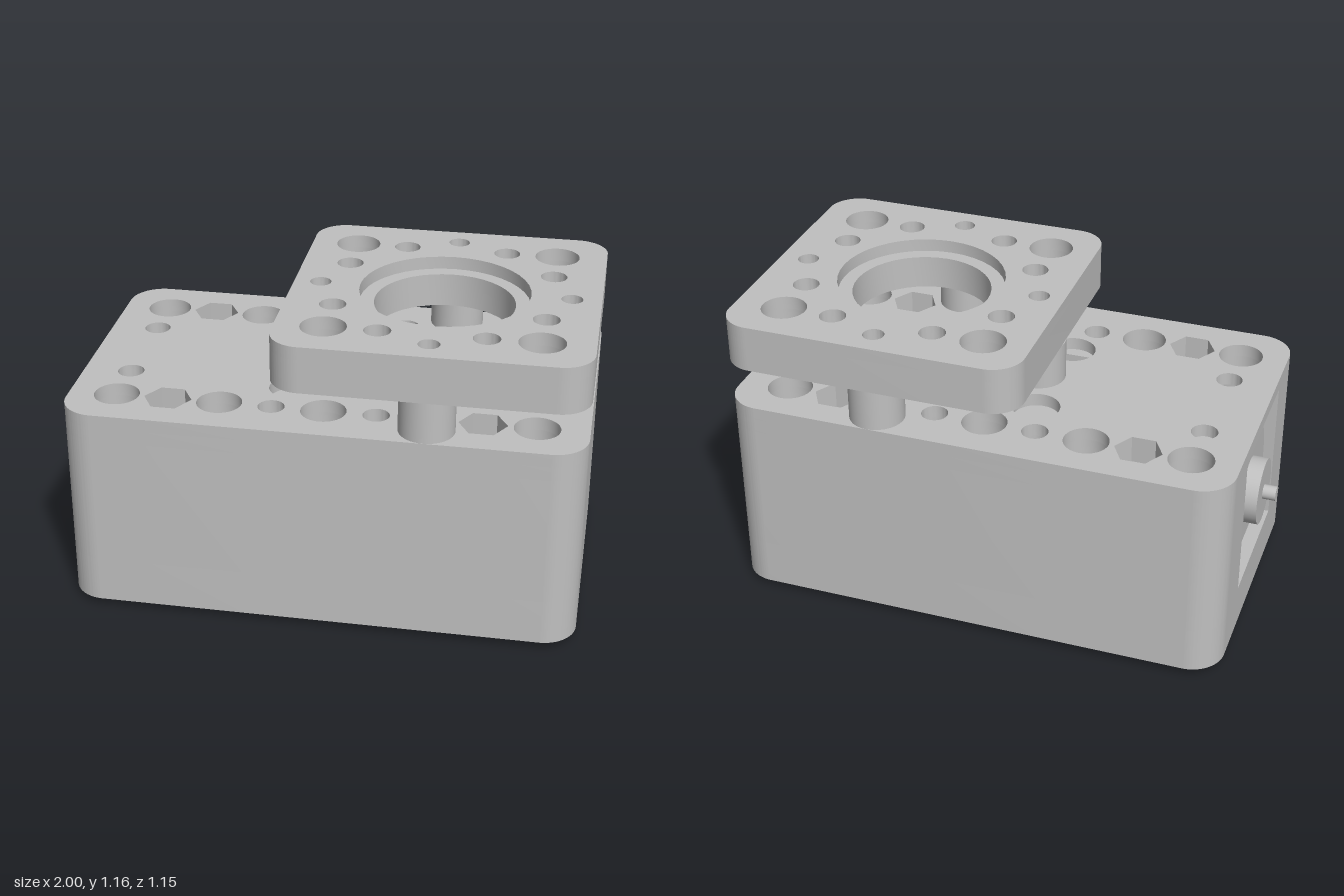
import * as THREE from 'three';
import { toCreasedNormals } from 'three/addons/utils/BufferGeometryUtils.js';

const BIG = 0.085, SMALL = 0.05, ROW = 0.39, AXIS = 0.42, HEX = 0.09;

export function createModel() {
  const group = new THREE.Group();
  const grey = new THREE.MeshStandardMaterial({ color: 0xc0c0c0 });
  grey.name = 'light grey';

  const add = (name, geometry) => {
    const mesh = new THREE.Mesh(geometry, grey);
    mesh.name = name;
    group.add(mesh);
    return mesh;
  };

  // hole helpers: round, hexagonal, and mirrored pairs across z
  const round = (x, z, r) => new THREE.Path().absarc(x, z, r, 0, Math.PI * 2, true);
  const hex = (x, z, r) => {
    const pts = [];
    for (let i = 0; i < 6; i++) {
      const a = -i * Math.PI / 3;
      pts.push(new THREE.Vector2(x + r * Math.cos(a), z + r * Math.sin(a)));
    }
    return new THREE.Path(pts);
  };
  const pair = (make, x, z, r) => [make(x, z, r), make(x, -z, r)];

  // rounded rectangle, optionally notched from its -x side by a cavity
  const outline = (x0, x1, h, r, notch) => {
    const s = new THREE.Shape();
    s.moveTo(x0 + r, -h);
    s.lineTo(x1 - r, -h);
    s.absarc(x1 - r, -h + r, r, -Math.PI / 2, 0);
    s.lineTo(x1, h - r);
    s.absarc(x1 - r, h - r, r, 0, Math.PI / 2);
    s.lineTo(x0 + r, h);
    s.absarc(x0 + r, h - r, r, Math.PI / 2, Math.PI);
    if (notch) {
      s.lineTo(x0, notch.z);
      s.lineTo(notch.x, notch.z);
      s.lineTo(notch.x, -notch.z);
      s.lineTo(x0, -notch.z);
    }
    s.lineTo(x0, -h + r);
    s.absarc(x0 + r, -h + r, r, Math.PI, Math.PI * 1.5);
    return s;
  };

  // horizontal slab from y0 to y1
  const slab = (name, shape, holes, y0, y1) => {
    shape.holes.push(...holes);
    const g = new THREE.ExtrudeGeometry(shape, { depth: y1 - y0, bevelEnabled: false, curveSegments: 20 });
    g.rotateX(-Math.PI / 2).translate(0, y0, 0);
    return add(name, toCreasedNormals(g, 0.6));
  };

  // holes running through the full housing
  const through = () => [
    ...[-0.75, -0.36, 0.03, 0.81].flatMap(x => pair(round, x, ROW, BIG)),
    ...[-0.165, 0.225].flatMap(x => pair(round, x, ROW, SMALL)),
    ...pair(round, 0.81, 0.195, SMALL),
  ];
  const bolts = (make, r) => [-0.555, 0.615].flatMap(x => pair(make, x, ROW, r));
  const motorHoles = () => pair(round, -0.75, 0.195, SMALL);
  const body = notch => outline(-0.93, 1, 0.575, 0.13, notch);
  const cavity = { x: 0.15, z: 0.267 };

  // housing, stacked in layers around the motor cavity
  slab('housingFloor', body(),
    [...through(), ...bolts(round, BIG), ...motorHoles(), ...pair(hex, -0.115, 0.225, 0.08), round(AXIS, 0, 0.13)],
    0.03, 0.21);
  slab('housingWalls', body(cavity), [...through(), ...bolts(round, SMALL)], 0.21, 0.72);
  slab('housingNutPockets', body(cavity), [...through(), ...bolts(hex, HEX)], 0.72, 0.775);
  slab('housingLid', body(),
    [...through(), ...bolts(hex, HEX), ...motorHoles(), ...pair(round, -0.115, 0.225, 0.09)],
    0.775, 0.825);

  // raised mounting plate with a stepped central bore
  const plateHoles = bore => [
    ...[0.03, 0.81].flatMap(x => [...pair(round, x, ROW, BIG), ...pair(round, x, 0.195, SMALL)]),
    ...[0.225, 0.615].flatMap(x => pair(round, x, ROW, SMALL)),
    ...pair(round, AXIS, 0.47, 0.04),
    round(-0.05, 0, 0.04), round(0.89, 0, 0.04),
    round(AXIS, 0, bore),
  ];
  const plate = () => outline(-0.15, 1, 0.575, 0.12);
  slab('plateLower', plate(), plateHoles(0.265), 0.985, 1.115);
  slab('plateUpper', plate(), plateHoles(0.32), 1.115, 1.165);

  // four spacer posts
  for (const [x, z] of [[-0.05, 0], [0.89, 0], [AXIS, 0.47], [AXIS, -0.47]]) {
    add('spacerPost', new THREE.CylinderGeometry(0.104, 0.104, 0.16, 40)).position.set(x, 0.905, z);
  }

  // round bar with two flats: half angle of each remaining arc
  const flatted = (r, flat) => {
    const a = Math.asin(flat / r);
    const s = new THREE.Shape();
    s.absarc(0, 0, r, -a, a);
    s.absarc(0, 0, r, Math.PI - a, Math.PI + a);
    return s;
  };

  // output shaft
  slab('outputShaft', flatted(0.07, 0.05), [], 0, 0.828).position.x = AXIS;

  // motor can lying along x, with boss and shaft
  const can = new THREE.ExtrudeGeometry(flatted(0.265, 0.22), { depth: 1.01, bevelEnabled: false, curveSegments: 24 });
  can.rotateY(Math.PI / 2);
  add('motorCan', toCreasedNormals(can, 0.6)).position.set(-0.89, 0.485, 0);
  const rod = (name, r, x0, x1) => {
    const g = new THREE.CylinderGeometry(r, r, x1 - x0, 32).rotateZ(Math.PI / 2);
    add(name, g).position.set((x0 + x1) / 2, 0.482, 0);
  };
  rod('motorBoss', 0.128, -0.95, -0.88);
  rod('motorShaft', 0.028, -1, -0.94);

  return group;
}
